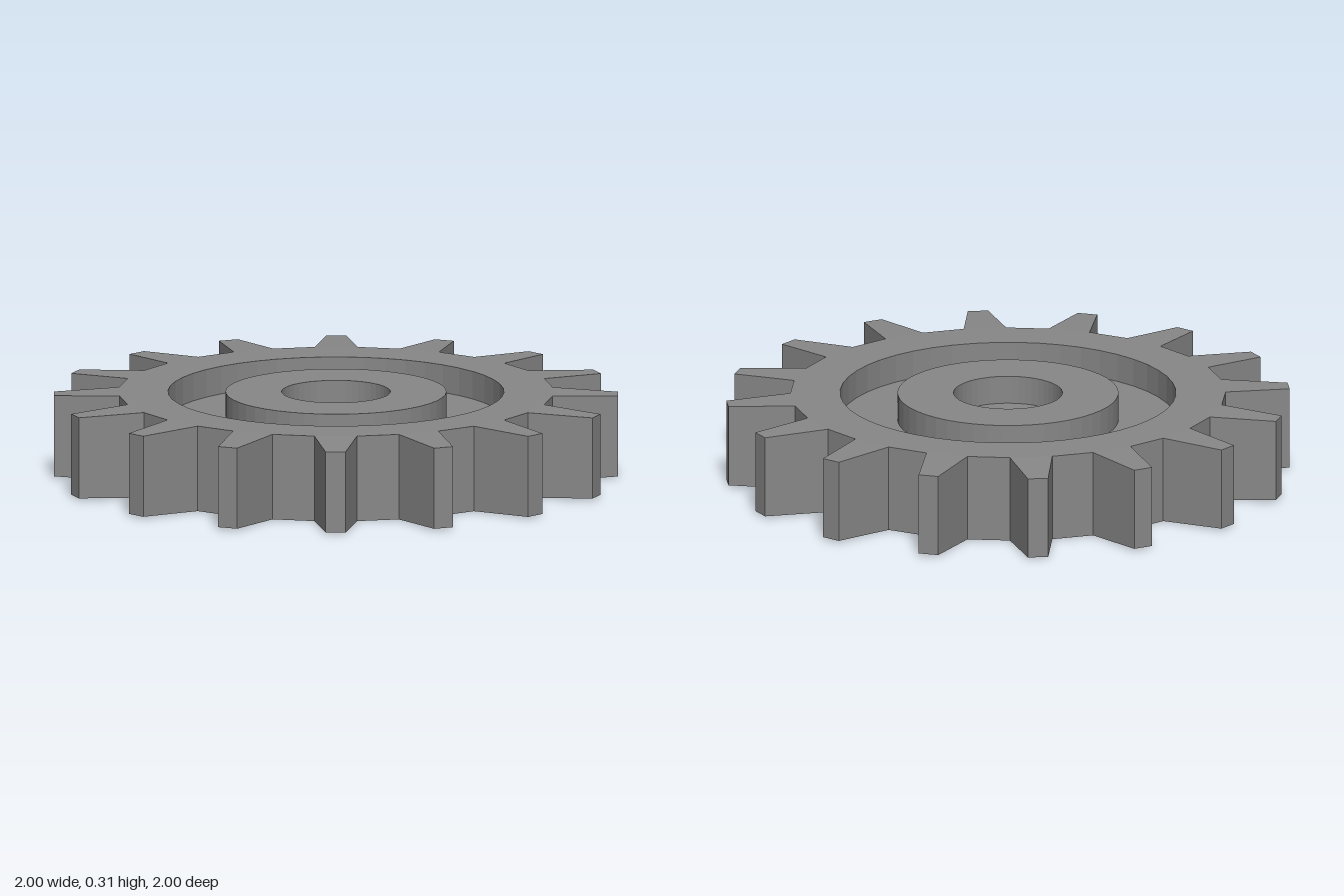
import * as THREE from 'three';

const TEETH = 16, HEIGHT = 0.308, SEG = 48;
const HOLE_R = 0.193, HUB_R = 0.392, RIM_R = 0.596, ROOT_R = 0.772, TIP_R = 1.001;
const RECESS = 0.1, TIP_HALF = 0.036, TIP_DROP = 0.008;

export function createModel() {
  const group = new THREE.Group();
  const material = new THREE.MeshStandardMaterial({ color: 0x888888, flatShading: true });
  const add = (geometry, name) => {
    const flat = geometry.index ? geometry.toNonIndexed() : geometry;
    flat.computeVertexNormals();
    const mesh = new THREE.Mesh(flat, material);
    mesh.name = name;
    group.add(mesh);
  };

  // Rim: a polygon with two corners per tooth, open in the middle
  const outline = [];
  for (let i = 0; i < TEETH * 2; i++) {
    const a = (i * Math.PI) / TEETH;
    outline.push(new THREE.Vector2(ROOT_R * Math.cos(a), ROOT_R * Math.sin(a)));
  }
  const rimShape = new THREE.Shape(outline);
  const opening = [];
  for (let i = 0; i < SEG; i++) {
    const a = (-i * Math.PI * 2) / SEG;
    opening.push(new THREE.Vector2(RIM_R * Math.cos(a), RIM_R * Math.sin(a)));
  }
  rimShape.holes.push(new THREE.Path(opening));
  const rim = new THREE.ExtrudeGeometry(rimShape, { depth: HEIGHT, bevelEnabled: false });
  add(rim.rotateX(-Math.PI / 2), 'rim');

  // Web and hub: the same stepped profile below and above, with a blind centre recess
  const profile = (face, floor) => [
    [0, floor], [HOLE_R, floor], [HOLE_R, face], [HUB_R, face], [HUB_R, floor], [RIM_R, floor],
  ].map(([r, y]) => new THREE.Vector2(r, y));
  add(new THREE.LatheGeometry(profile(0, RECESS), SEG), 'lowerWebAndHub');
  add(new THREE.LatheGeometry(profile(HEIGHT, HEIGHT - RECESS).reverse(), SEG), 'upperWebAndHub');

  // Teeth: boxes narrowed towards the tip and very slightly thinner there
  const half = Math.PI / TEETH / 2;
  for (let i = 0; i < TEETH; i++) {
    const tooth = new THREE.BoxGeometry(2, 2, 2);
    const p = tooth.attributes.position;
    for (let v = 0; v < p.count; v++) {
      const tip = p.getZ(v) > 0;
      const drop = tip ? TIP_DROP : 0;
      p.setXYZ(v,
        p.getX(v) * (tip ? TIP_HALF : ROOT_R * Math.sin(half)),
        p.getY(v) > 0 ? HEIGHT - drop : drop,
        tip ? TIP_R : ROOT_R * Math.cos(half));
    }
    add(tooth.rotateY(-half * (1 + 4 * i)), 'tooth' + (i + 1));
  }
  return group;
}
